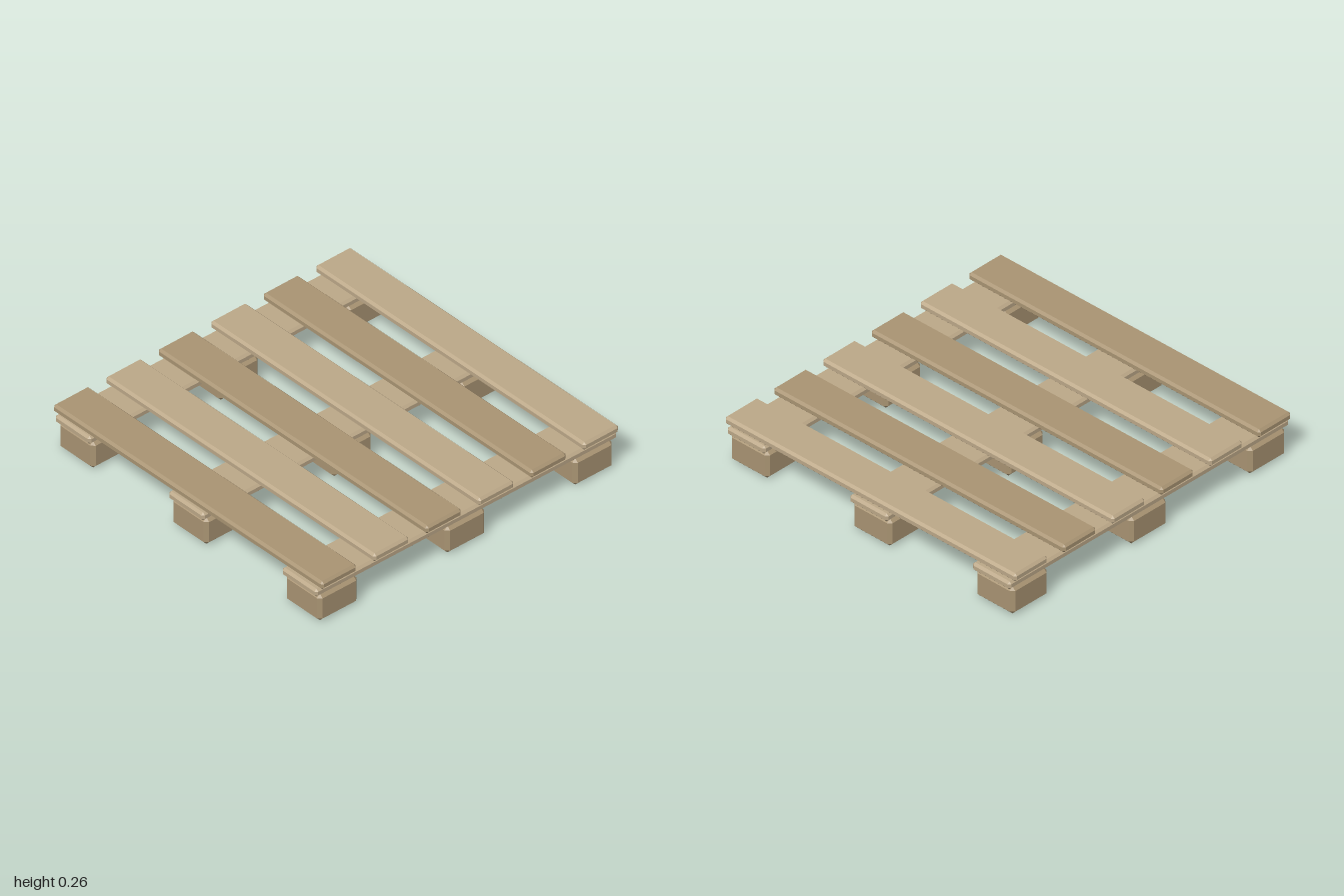
import * as THREE from 'three';
import { ConvexGeometry } from 'three/addons/geometries/ConvexGeometry.js';

// Box with every edge and corner chamfered by c
function chamferedBox(w, h, d, c) {
  const points = [];
  for (const sx of [-1, 1]) for (const sy of [-1, 1]) for (const sz of [-1, 1]) {
    const x = w / 2, y = h / 2, z = d / 2;
    points.push(
      new THREE.Vector3(sx * x, sy * (y - c), sz * (z - c)),
      new THREE.Vector3(sx * (x - c), sy * y, sz * (z - c)),
      new THREE.Vector3(sx * (x - c), sy * (y - c), sz * z));
  }
  return new ConvexGeometry(points);
}

export function createModel() {
  const pallet = new THREE.Group();
  pallet.name = 'pallet';

  const lightWood = new THREE.MeshStandardMaterial({ color: 0xbca888, flatShading: true });
  const darkWood = new THREE.MeshStandardMaterial({ color: 0xa99473, flatShading: true });

  const add = (name, geometry, material, x, y, z) => {
    const mesh = new THREE.Mesh(geometry, material);
    mesh.name = name;
    mesh.position.set(x, y, z);
    pallet.add(mesh);
    return mesh;
  };

  const blockGeometry = chamferedBox(0.262, 0.164, 0.262, 0.02);
  const crossBoardGeometry = chamferedBox(1.996, 0.048, 0.262, 0.013);
  const deckBoardGeometry = chamferedBox(0.236, 0.048, 1.995, 0.013);

  // Three cross boards, each carried by three blocks
  for (let row = -1; row <= 1; row++) {
    add('crossBoard', crossBoardGeometry, lightWood, 0, 0.188, row * 0.845);
    for (let col = -1; col <= 1; col++) {
      add('block', blockGeometry, darkWood, col * 0.845, 0.082, row * 0.845);
    }
  }

  // Six deck boards in alternating shades, laid very slightly askew
  for (let i = 0; i < 6; i++) {
    const board = add('deckBoard', deckBoardGeometry, i % 2 ? lightWood : darkWood,
      (i - 2.5) * 0.347, 0.238, 0);
    board.rotation.y = 0.006;
  }

  return pallet;
}
